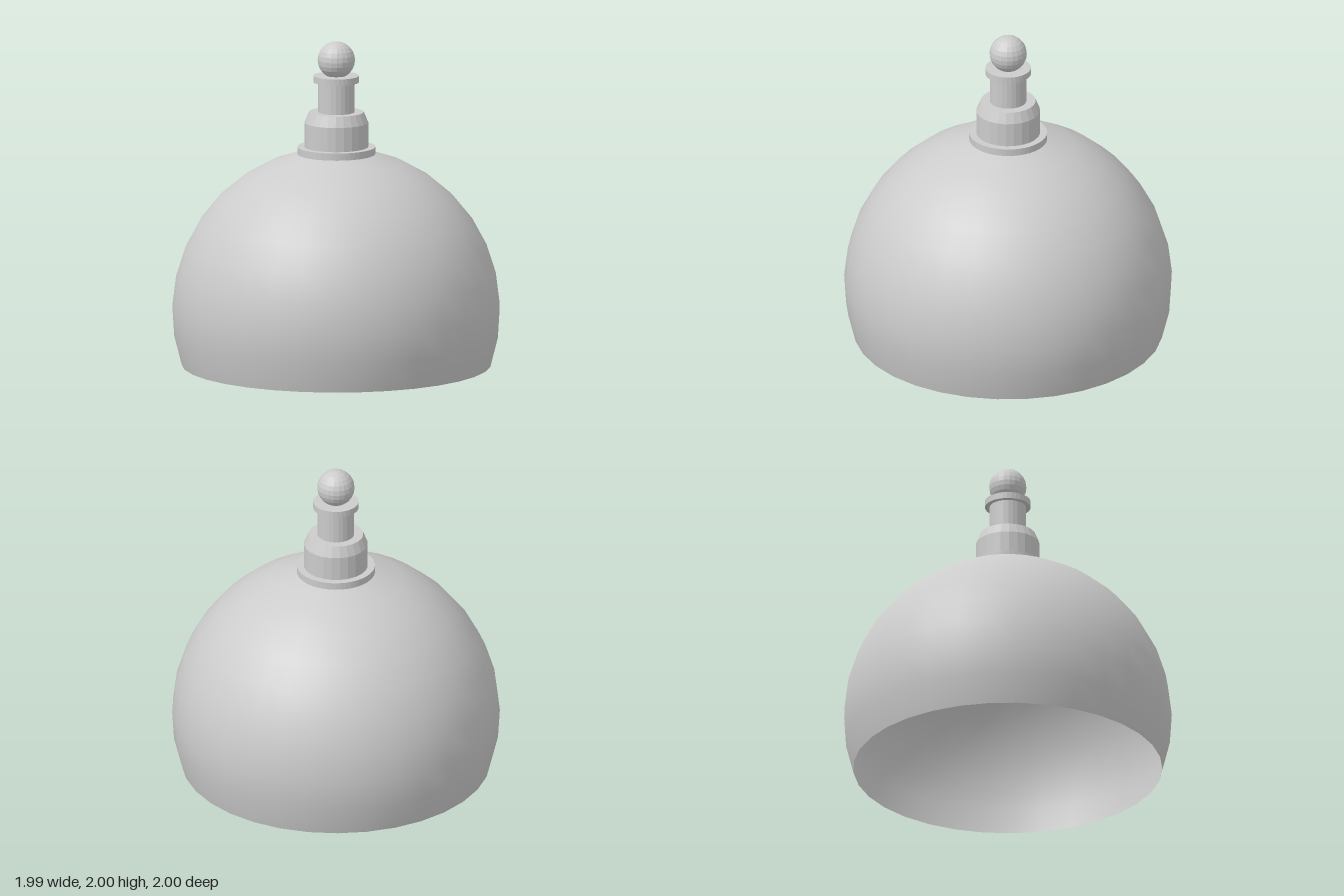
import * as THREE from 'three';

const smooth = new THREE.MeshStandardMaterial({ color: 0xcccccc, side: THREE.DoubleSide });
const faceted = new THREE.MeshStandardMaterial({ color: 0xcccccc, flatShading: true });

export function createModel() {
  const group = new THREE.Group();
  const add = (name, geometry, material, y = 0) => {
    const mesh = new THREE.Mesh(geometry, material);
    mesh.name = name;
    mesh.position.y = y;
    group.add(mesh);
    return mesh;
  };
  // Solid round part between two heights
  const disc = (name, y0, y1, r0, r1 = r0, sides = 24) =>
    add(name, new THREE.CylinderGeometry(r1, r0, y1 - y0, sides), faceted, (y0 + y1) / 2);

  // Thin open shade: part of a sphere from the rim up to the collar
  const rings = 9, centre = 0.335;
  const low = -Math.asin(centre), high = Math.acos(0.235);
  const profile = [];
  for (let i = 0; i <= rings; i++) {
    const a = low + (high - low) * i / rings;
    profile.push(new THREE.Vector2(Math.cos(a), centre + Math.sin(a)));
  }
  const shade = add('shade', new THREE.LatheGeometry(profile, 33), smooth);
  shade.rotation.y = Math.PI / 2;

  // Stacked fitting above the shade
  disc('collar', 1.3, 1.35, 0.238, 0.238, 48);
  disc('socket', 1.35, 1.5, 0.195);
  disc('socketShoulder', 1.5, 1.565, 0.195, 0.168);
  disc('neck', 1.565, 1.75, 0.112);
  disc('flange', 1.75, 1.79, 0.139, 0.139, 32);
  add('finialBall', new THREE.SphereGeometry(0.114, 20, 12), faceted, 1.886);

  group.position.x = -0.002;
  return group;
}
